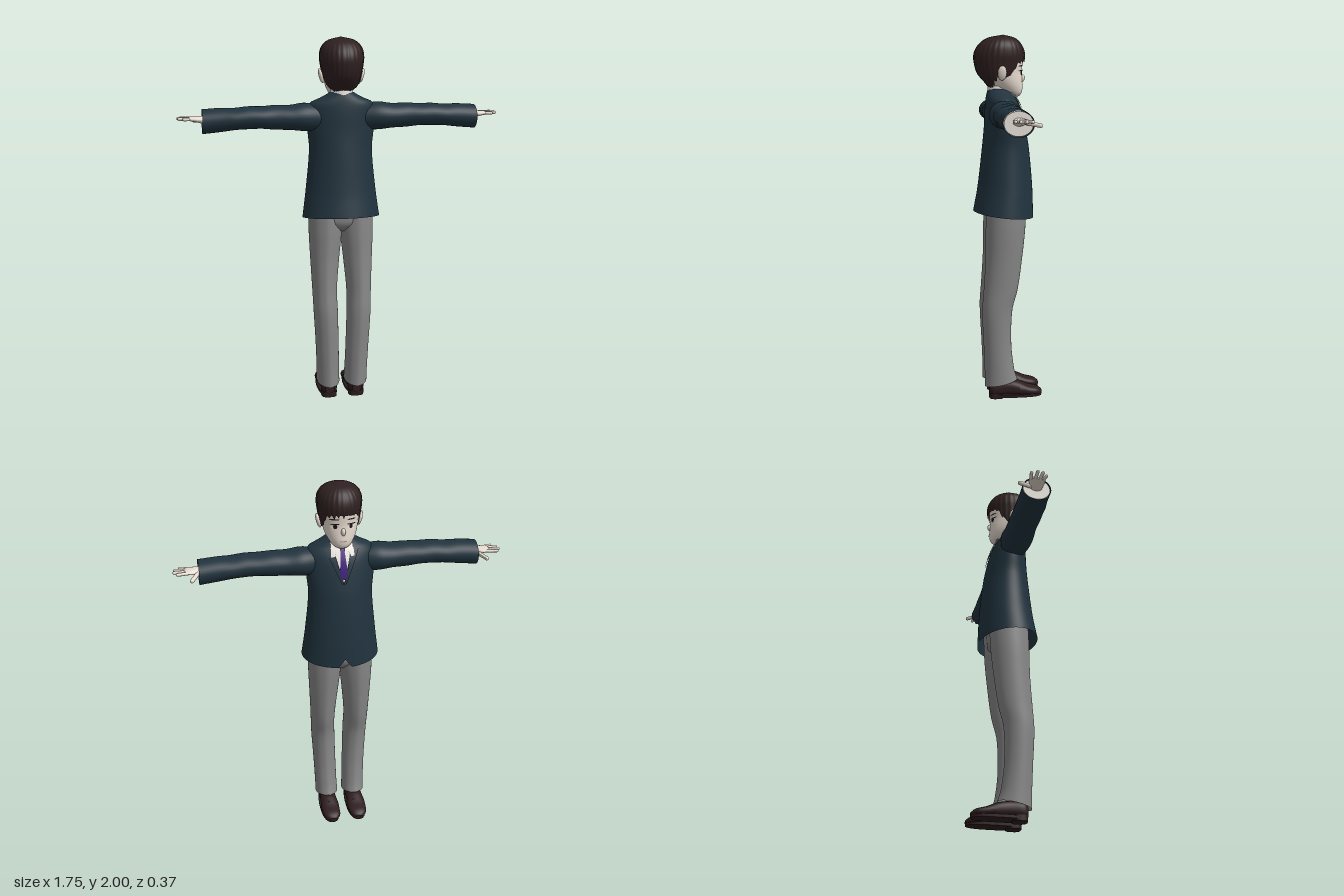
import * as THREE from 'three';

const mat = (name, color, side = THREE.FrontSide) => {
  const m = new THREE.MeshStandardMaterial({ color, side });
  m.name = name;
  return m;
};

// Smooth lookup in a table of rows sorted by their first number
function at(table, s) {
  let k = 0;
  while (k < table.length - 2 && s > table[k + 1][0]) k++;
  const a = table[k], b = table[k + 1], p = table[Math.max(k - 1, 0)], q = table[Math.min(k + 2, table.length - 1)];
  const h = b[0] - a[0], t = Math.min(Math.max((s - a[0]) / h, 0), 1), t2 = t * t, t3 = t2 * t;
  return a.map((v, i) => {
    const ma = (b[i] - p[i]) / (b[0] - p[0]) * h, mb = (q[i] - a[i]) / (q[0] - a[0]) * h;
    return (2 * t3 - 3 * t2 + 1) * v + (t3 - 2 * t2 + t) * ma + (3 * t2 - 2 * t3) * b[i] + (t3 - t2) * mb;
  });
}

// Tube of quads closed around j, with optional end caps
function grid(n, steps, fn, flip = false, caps = false) {
  const pos = [], idx = [];
  const tri = (a, b, c) => (flip ? idx.push(a, c, b) : idx.push(a, b, c));
  for (let i = 0; i <= steps; i++) for (let j = 0; j < n; j++) pos.push(...fn(j, i));
  for (let i = 0; i < steps; i++) for (let j = 0; j < n; j++) {
    const a = i * n + j, c = i * n + (j + 1) % n;
    tri(a, a + n, c);
    tri(c, a + n, c + n);
  }
  if (caps) for (const i of [0, steps]) {
    const base = pos.length / 3, mid = [0, 0, 0];
    for (let j = 0; j < n; j++) {
      const v = fn(j, i);
      pos.push(...v);
      v.forEach((x, k) => { mid[k] += x / n; });
    }
    pos.push(...mid);
    for (let j = 0; j < n; j++) {
      const a = base + j, b = base + (j + 1) % n;
      i === 0 ? tri(base + n, a, b) : tri(base + n, b, a);
    }
  }
  const g = new THREE.BufferGeometry();
  g.setAttribute('position', new THREE.Float32BufferAttribute(pos, 3));
  g.setIndex(idx);
  g.computeVertexNormals();
  return g;
}

// Superellipse sections along an axis; rows are [s, centre1, centre2, radius1, radius2]
function loft(table, axis, { n = 32, steps = 24, p = 2, caps = true, crease = 0, warp = v => v } = {}) {
  const s0 = table[0][0], s1 = table[table.length - 1][0];
  const sq = v => Math.sign(v) * Math.abs(v) ** (2 / p);
  return grid(n, steps, (j, i) => {
    const a = j / n * Math.PI * 2, s = s0 + (s1 - s0) * i / steps;
    const [, c1, c2, r1, r2] = at(table, s);
    const u = c1 + r1 * sq(Math.cos(a));
    const v = c2 + r2 * sq(Math.sin(a)) * (1 + crease * Math.abs(Math.sin(a)) ** 60);
    return warp(axis === 'x' ? [s, u, v] : axis === 'y' ? [u, s, v] : [u, v, s]);
  }, axis !== 'y', caps);
}

function reverse(g) {
  const ix = g.index;
  for (let i = 0; i < ix.count; i += 3) {
    const b = ix.getX(i + 1);
    ix.setX(i + 1, ix.getX(i + 2));
    ix.setX(i + 2, b);
  }
  g.computeVertexNormals();
  return g;
}
const mirror = g => reverse(g.clone().scale(-1, 1, 1));

// Lay a flat geometry onto the face side (-z) of a lofted body
function drape(g, table, off) {
  const P = g.attributes.position;
  for (let i = 0; i < P.count; i++) {
    const x = P.getX(i), [, cx, cz, rx, rz] = at(table, P.getY(i));
    P.setZ(i, cz - rz * Math.sqrt(Math.max(0, 1 - ((x - cx) / rx) ** 2)) - off);
  }
  return reverse(g);
}
const spot = (table, x, y, w, h, off, tilt = 0) =>
  drape(new THREE.CircleGeometry(1, 24).scale(w, h, 1).rotateZ(tilt).translate(x, y, 0), table, off);
// Quad patch: lower edge x0..x1 at y0, upper edge x2..x3 at y1
function quad(table, x0, x1, y0, x2, x3, y1, off) {
  const g = new THREE.PlaneGeometry(1, 1, 6, 14), P = g.attributes.position;
  for (let i = 0; i < P.count; i++) {
    const u = P.getX(i) + 0.5, v = P.getY(i) + 0.5;
    P.setXY(i, (x0 + (x1 - x0) * u) * (1 - v) + (x2 + (x3 - x2) * u) * v, y0 + (y1 - y0) * v);
  }
  return drape(g, table, off);
}
// Rounded bar between two points
function bar(a, b, r) {
  const A = new THREE.Vector3(...a), d = new THREE.Vector3(...b).sub(A);
  const q = new THREE.Quaternion().setFromUnitVectors(new THREE.Vector3(0, 1, 0), d.clone().normalize());
  const mid = A.clone().addScaledVector(d, 0.5);
  return new THREE.CapsuleGeometry(r, d.length(), 5, 10).applyQuaternion(q).translate(mid.x, mid.y, mid.z);
}

const TORSO = [[1.03, 0, 0.02, 0.212, 0.165], [1.2, 0, 0.01, 0.19, 0.148], [1.4, 0, 0.008, 0.172, 0.127],
  [1.5, 0, 0.012, 0.18, 0.113], [1.6, 0, 0.022, 0.183, 0.098], [1.655, 0, 0.032, 0.17, 0.083],
  [1.685, 0, 0.039, 0.105, 0.071], [1.712, 0, 0.043, 0.06, 0.06]];
const HEAD = [[1.668, 0, -0.045, 0.012, 0.012], [1.68, 0, -0.037, 0.04, 0.038], [1.71, 0, -0.012, 0.066, 0.073],
  [1.75, 0, 0.008, 0.085, 0.092], [1.8, 0, 0.027, 0.097, 0.108], [1.86, 0, 0.035, 0.104, 0.12],
  [1.92, 0, 0.035, 0.1, 0.115], [1.97, 0, 0.035, 0.06, 0.07], [1.985, 0, 0.035, 0.01, 0.01]];
const HAIR = [[1.7, 0, 0.045, 0.045, 0.04], [1.74, 0, 0.045, 0.087, 0.07], [1.79, 0, 0.04, 0.102, 0.118],
  [1.85, 0, 0.042, 0.113, 0.135], [1.9, 0, 0.04, 0.118, 0.138], [1.95, 0, 0.036, 0.106, 0.115],
  [1.985, 0, 0.03, 0.066, 0.07], [2, 0, 0.02, 0.003, 0.003]];
// Hairline height from nape (-1) to fringe (1)
const HAIRLINE = [[-1, 1.715], [-0.5, 1.74], [-0.1, 1.785], [0.25, 1.775], [0.5, 1.8], [0.7, 1.85], [1, 1.862]];

export function createModel() {
  const model = new THREE.Group();
  const jacket = mat('navy jacket', 0x21333e, THREE.DoubleSide), grey = mat('grey trousers', 0x878787, THREE.DoubleSide);
  const skin = mat('skin', 0xeee2d6), hairMat = mat('dark hair', 0x2f2020, THREE.DoubleSide);
  const leather = mat('shoe leather', 0x2e1d1f), shirt = mat('white shirt', 0xf2ece4, THREE.DoubleSide);
  const purple = mat('purple tie', 0x3c1478), dark = mat('eye dark', 0x1c1414);
  const lip = mat('lips', 0xc39a8c);
  const add = (name, g, m) => {
    const mesh = new THREE.Mesh(g, m);
    mesh.name = name;
    model.add(mesh);
  };
  const pair = (name, g, m) => {
    add(name + 'Left', g, m);
    add(name + 'Right', mirror(g), m);
  };

  // Jacket with sloping hem and a notch at the front opening
  add('jacketBody', loft(TORSO, 'y', { n: 72, steps: 40, caps: false, warp: ([x, y, z]) => {
    const low = Math.max(0, 1 - (y - 1.03) / 0.12);
    const notch = z < 0 ? Math.max(0, 1 - Math.abs(x) / 0.035) * 0.05 : 0;
    return [x, y + low * (0.11 * (z - 0.02) + notch), z];
  } }), jacket);
  pair('sleeve', loft([[0.11, 1.575, 0.03, 0.068, 0.065], [0.2, 1.58, 0.028, 0.075, 0.087], [0.28, 1.579, 0.03, 0.066, 0.084],
    [0.36, 1.581, 0.028, 0.065, 0.08], [0.43, 1.582, 0.03, 0.059, 0.081], [0.5, 1.582, 0.03, 0.06, 0.079],
    [0.57, 1.577, 0.028, 0.058, 0.08], [0.64, 1.573, 0.024, 0.063, 0.076], [0.742, 1.565, 0.019, 0.065, 0.076]],
  'x', { steps: 40, caps: false }), jacket);
  pair('shirtCuff', loft([[0.66, 1.57, 0.02, 0.058, 0.068], [0.735, 1.566, 0.019, 0.06, 0.071]], 'x', { steps: 2 }), shirt);

  // Shirt front, tie, lapels and collar
  add('shirtFront', quad(TORSO, -0.002, 0.002, 1.5, -0.055, 0.055, 1.7, 0.003), shirt);
  add('tieBlade', quad(TORSO, -0.022, 0.022, 1.535, -0.01, 0.01, 1.662, 0.008), purple);
  add('tieTip', quad(TORSO, -0.004, 0.004, 1.512, -0.022, 0.022, 1.535, 0.008), purple);
  add('tieKnot', quad(TORSO, -0.011, 0.011, 1.655, -0.019, 0.019, 1.69, 0.012), purple);
  pair('lapel', quad(TORSO, 0, 0.012, 1.49, 0.05, 0.092, 1.67, 0.008), jacket);
  pair('collarLeaf', quad(TORSO, 0.042, 0.062, 1.63, 0.012, 0.058, 1.698, 0.011), shirt);
  add('collarBand', loft([[1.68, 0, 0.042, 0.068, 0.067], [1.727, 0, 0.042, 0.058, 0.061]], 'y', { steps: 2, caps: false }), shirt);
  add('neck', loft([[1.64, 0, 0.04, 0.052, 0.052], [1.77, 0, 0.035, 0.052, 0.052]], 'y', { steps: 2 }), skin);

  // Head and face
  add('head', loft(HEAD, 'y', { n: 48, steps: 40 }), skin);
  add('nose', new THREE.SphereGeometry(1, 16, 12).scale(0.012, 0.022, 0.016).rotateX(-0.3).translate(0, 1.768, -0.082), skin);
  add('mouth', spot(HEAD, 0, 1.718, 0.02, 0.0035, 0.003), lip);
  pair('ear', new THREE.SphereGeometry(1, 16, 12).scale(0.012, 0.04, 0.024).rotateZ(-0.25).translate(0.11, 1.797, 0.035), skin);
  pair('eyeWhite', spot(HEAD, 0.042, 1.797, 0.022, 0.013, 0.002), shirt);
  pair('iris', spot(HEAD, 0.041, 1.797, 0.01, 0.012, 0.004), dark);
  pair('eyelid', spot(HEAD, 0.043, 1.81, 0.024, 0.0035, 0.005, -0.08), dark);
  pair('eyebrow', spot(HEAD, 0.045, 1.835, 0.025, 0.004, 0.003, -0.08), hairMat);

  // Hair cap with a jagged hairline and fine strands
  const N = 108;
  add('hair', grid(N, 26, (j, i) => {
    const a = j / N * Math.PI * 2, t = i / 26;
    const edge = at(HAIRLINE, -Math.sin(a))[1] - 0.022 * ((j * 5 % 7) / 7) * (j % 4 < 2 ? 1 : 0.2);
    const y = edge + (2 - edge) * (1 - (1 - t) ** 2);
    const [, cx, cz, rx, rz] = at(HAIR, y), k = 1 + 0.012 * Math.sin(a * 27);
    return [cx + rx * k * Math.cos(a), y, cz + rz * k * Math.sin(a)];
  }), hairMat);

  // Hands with four fingers and a thumb
  pair('palm', loft([[0.69, 1.572, 0.02, 0.022, 0.028], [0.74, 1.575, 0.016, 0.02, 0.032], [0.775, 1.578, 0.01, 0.015, 0.042],
    [0.805, 1.58, 0.008, 0.011, 0.041], [0.815, 1.58, 0.008, 0.006, 0.034]], 'x', { n: 20, steps: 14 }), skin);
  [[-0.024, -0.034, 0.85], [-0.002, -0.005, 0.866], [0.019, 0.023, 0.861], [0.037, 0.046, 0.836]].forEach(([z0, z1, x], i) =>
    pair('finger' + (i + 1), bar([0.795, 1.58, z0], [x, 1.581, z1], 0.0088), skin));
  pair('thumb', bar([0.745, 1.572, -0.012], [0.78, 1.56, -0.078], 0.011), skin);

  // Trousers with pressed creases
  pair('trouserLeg', loft([[0.085, 0.078, 0.04, 0.064, 0.088], [0.15, 0.08, 0.048, 0.063, 0.08], [0.3, 0.085, 0.06, 0.064, 0.074],
    [0.5, 0.093, 0.062, 0.067, 0.08], [0.62, 0.096, 0.043, 0.068, 0.09], [0.8, 0.092, 0.025, 0.08, 0.097],
    [0.95, 0.087, 0.016, 0.091, 0.104], [1.1, 0.085, 0.01, 0.092, 0.105]], 'y',
  { n: 40, steps: 36, caps: false, crease: 0.04, warp: ([x, y, z]) => [x, y - Math.max(0, 1 - (y - 0.085) / 0.08) * 0.2 * (z - 0.04), z] }), grey);
  add('trouserSeat', loft([[0.955, 0, 0.015, 0.05, 0.06], [1, 0, 0.014, 0.15, 0.098], [1.1, 0, 0.01, 0.17, 0.105]], 'y', { steps: 10 }), grey);

  // Loafers
  pair('shoeUpper', loft([[-0.187, 0.077, 0.028, 0.018, 0.01], [-0.165, 0.077, 0.034, 0.043, 0.021], [-0.11, 0.078, 0.041, 0.052, 0.029],
    [-0.05, 0.078, 0.053, 0.049, 0.042], [0.02, 0.077, 0.06, 0.044, 0.046], [0.09, 0.077, 0.055, 0.042, 0.045],
    [0.107, 0.077, 0.052, 0.026, 0.03]], 'z', { p: 2.3 }), leather);
  pair('shoeTongueBand', loft([[-0.085, 0.078, 0.045, 0.053, 0.037], [-0.06, 0.078, 0.05, 0.052, 0.043]], 'z', { steps: 2 }), leather);
  pair('shoeSole', loft([[0.008, 0.078, -0.04, 0.052, 0.147], [0.024, 0.078, -0.04, 0.053, 0.149]], 'y', { steps: 1, p: 2.5 }), leather);
  pair('shoeHeel', loft([[0, 0.077, 0.066, 0.043, 0.041], [0.03, 0.077, 0.066, 0.044, 0.042]], 'y', { steps: 1, p: 2.8 }), leather);
  return model;
}
